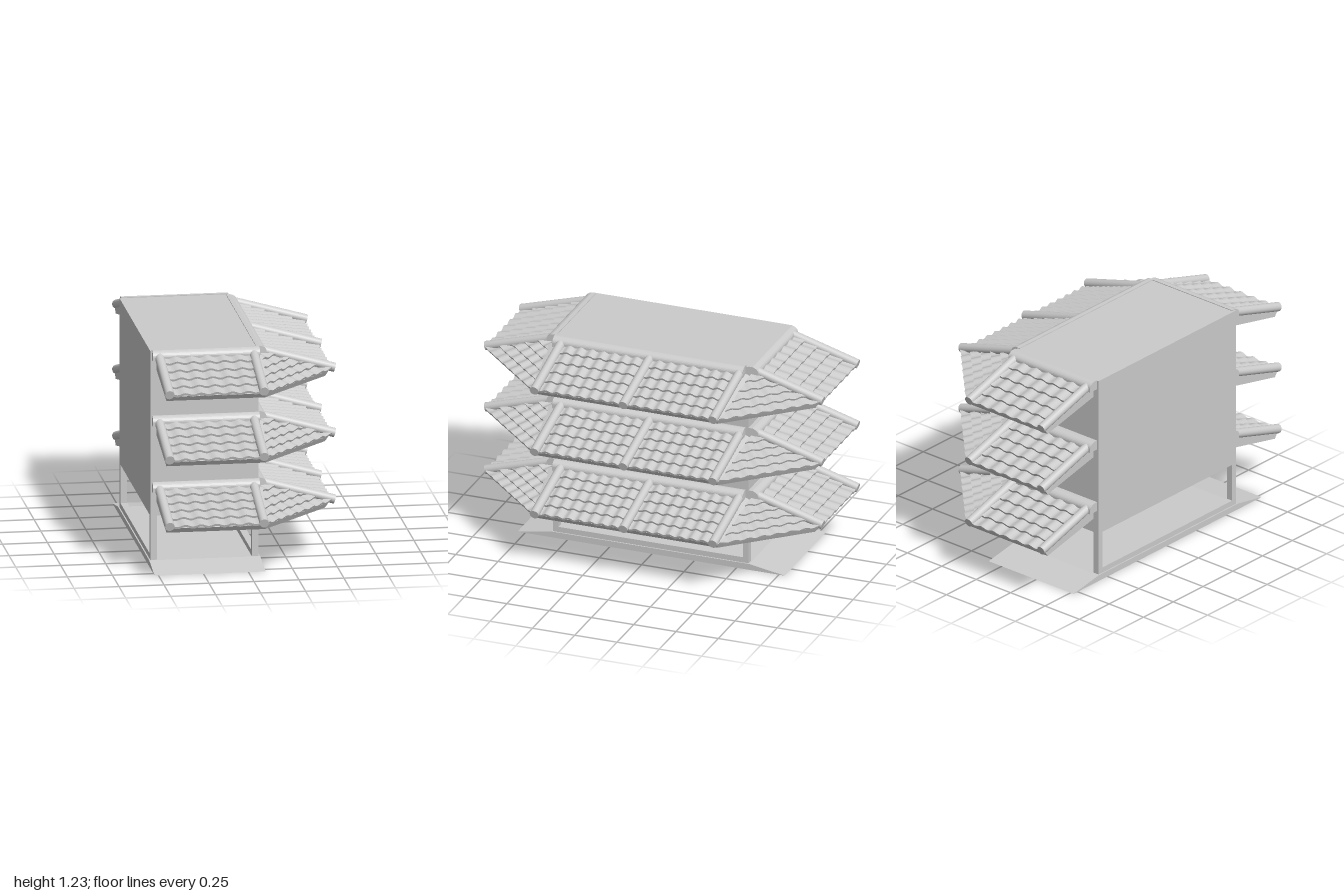
import * as THREE from 'three';

const V = (x, y, z) => new THREE.Vector3(x, y, z);
const mat = new THREE.MeshStandardMaterial({ color: 0xcccccc });
const thinMat = new THREE.MeshStandardMaterial({ color: 0xcccccc, side: THREE.DoubleSide });

// Wall planes of the tower, and the line the end roofs start from
const X0 = -0.515, X1 = 0.087, ZB = -0.567, ZF = 0.587, Z = 0.58;
// Roof slope heights, measured down from the ridge top
const TILE_TOP = -0.034, TILE_EAVE = -0.159, REACH = 0.41;

function add(parent, name, geometry, material = mat) {
  const mesh = new THREE.Mesh(geometry, material);
  mesh.name = name;
  parent.add(mesh);
  return mesh;
}

// Box given by its two opposite corners
function box(parent, name, x0, x1, y0, y1, z0, z1) {
  add(parent, name, new THREE.BoxGeometry(x1 - x0, y1 - y0, z1 - z0))
    .position.set((x0 + x1) / 2, (y0 + y1) / 2, (z0 + z1) / 2);
}

function meshGeometry(pos, index) {
  const g = new THREE.BufferGeometry();
  g.setAttribute('position', new THREE.Float32BufferAttribute(pos, 3));
  g.setIndex(index);
  return g;
}

// Overlapping rows of wavy tiles on a sloped quad (or triangle, when tl = tr)
function tileGeometry(tl, tr, bl, br, period, rows = 5) {
  const along = br.clone().sub(bl), width = along.length();
  along.normalize();
  const normal = along.clone().cross(tl.clone().sub(bl)).normalize();
  if (normal.y < 0) normal.negate();
  const segs = Math.round(width / period) * 8;
  const pos = [], index = [];
  // Strip of quads from slope position v0, lift h0 to v1, h1
  const strip = (v0, h0, v1, h1, steps) => {
    const start = pos.length / 3;
    for (let i = 0; i <= segs; i++) {
      const u = i / segs;
      const top = tl.clone().lerp(tr, u), low = bl.clone().lerp(br, u);
      for (let j = 0; j <= steps; j++) {
        const t = j / steps;
        const p = top.clone().lerp(low, v0 + (v1 - v0) * t);
        const wave = 0.006 * Math.cos(2 * Math.PI * p.clone().sub(bl).dot(along) / period);
        p.addScaledVector(normal, h0 + (h1 - h0) * t + wave);
        pos.push(p.x, p.y, p.z);
        if (i < segs && j < steps) {
          const a = start + i * (steps + 1) + j, b = a + steps + 1;
          index.push(a, a + 1, b, b, a + 1, b + 1);
        }
      }
    }
  };
  for (let r = 0; r < rows; r++) {
    const v1 = (r + 1) / rows;
    strip(r / rows, 0, v1, 0.012, 3);       // tile face
    strip(v1, 0.012, v1, -0.002, 1);        // lower lip
  }
  const g = meshGeometry(pos, index);
  g.computeVertexNormals();
  return g;
}

// Round cover tile running down the slope at local z
function coverRoll(parent, z, end) {
  const a = V(0.02, -0.034, z), b = V(end, -0.15, z);
  const dir = b.clone().sub(a);
  const roll = add(parent, 'coverRoll', new THREE.CylinderGeometry(0.026, 0.026, dir.length(), 20));
  roll.position.copy(a).add(b).multiplyScalar(0.5);
  roll.quaternion.setFromUnitVectors(V(0, 1, 0), dir.normalize());
}

// Ridge bar with a rounded outer shoulder, extruded along local z
function ridge(parent, z0, z1) {
  const s = new THREE.Shape();
  s.moveTo(-0.012, -0.055);
  s.lineTo(0.046, -0.055);
  s.lineTo(0.046, -0.03);
  s.quadraticCurveTo(0.043, -0.008, 0.012, 0);
  s.lineTo(-0.012, 0);
  const g = new THREE.ExtrudeGeometry(s, { depth: z1 - z0, bevelEnabled: false, curveSegments: 6 });
  add(parent, 'ridge', g.translate(0, 0, z0));
}

// One roof side in a local frame: +x points away from the wall, z runs along it
function roofSide(name, ridgeSpan, rolls, rollEnd, period) {
  const side = new THREE.Group();
  side.name = name;
  ridge(side, ...ridgeSpan);
  rolls.forEach((z) => coverRoll(side, z, rollEnd));
  for (let i = 0; i + 1 < rolls.length; i++) {
    const [a, b] = [rolls[i], rolls[i + 1]];
    add(side, 'tilePanel', tileGeometry(V(0.03, TILE_TOP, a), V(0.03, TILE_TOP, b),
      V(REACH, TILE_EAVE, a), V(REACH, TILE_EAVE, b), period), thinMat);
  }
  return side;
}

// Sloping slab under the tiles, lofted round the three roofed walls
function eaveSlab() {
  const section = [[-0.01, -0.11], [0.375, -0.193], [0.395, -0.165], [-0.01, -0.04]];
  const stations = [
    [-0.48, Z, 0, 1], [0.07, Z, 0, 1], [X1, 0.545, 1, 0],
    [X1, -0.535, 1, 0], [0.07, -Z, 0, -1], [-0.48, -Z, 0, -1],
  ];
  const pos = [], index = [], n = section.length;
  for (const [x, z, dx, dz] of stations)
    for (const [d, y] of section) pos.push(x + dx * d, y, z + dz * d);
  for (let s = 0; s + 1 < stations.length; s++)
    for (let k = 0; k < n; k++) {
      const a = s * n + k, b = s * n + (k + 1) % n;
      index.push(a, a + n, b, b, a + n, b + n);
    }
  const e = (stations.length - 1) * n;
  index.push(0, 1, 2, 0, 2, 3, e, e + 2, e + 1, e, e + 3, e + 2);
  const flat = meshGeometry(pos, index).toNonIndexed();
  flat.computeVertexNormals();
  return flat;
}

function createRoofTier() {
  const tier = new THREE.Group();
  tier.name = 'roofTier';
  add(tier, 'eaveSlab', eaveSlab(), thinMat);

  const long = roofSide('sideRoof', [-0.55, 0.575], [-0.525, 0.005, 0.53], 0.43, 0.066);
  long.position.x = X1;
  const front = roofSide('frontRoof', [-0.09, 0.505], [-0.058, 0.467], 0.416, 0.0875);
  front.rotation.y = -Math.PI / 2;
  front.position.z = Z;
  const back = roofSide('backRoof', [-0.505, 0.09], [-0.467, 0.058], 0.416, 0.0875);
  back.rotation.y = Math.PI / 2;
  back.position.z = -Z;
  tier.add(long, front, back);

  // Triangular tiled corners
  for (const s of [1, -1]) {
    const apex = V(X1 + 0.012, TILE_TOP, s * (Z + 0.01));
    add(tier, 'cornerTiles', tileGeometry(apex, apex, V(0.082, TILE_EAVE, s * 0.985),
      V(0.495, TILE_EAVE, s * 0.553), 0.084), thinMat);
  }
  return tier;
}

export function createModel() {
  const model = new THREE.Group();
  model.name = 'tieredTower';

  // Base plate with a ramp at each end
  const ramp = new THREE.Shape([[-0.795, 0], [0.785, 0], [0.575, 0.035], [-0.595, 0.035]]
    .map(([x, y]) => new THREE.Vector2(x, y)));
  const base = add(model, 'base', new THREE.ExtrudeGeometry(ramp, { depth: 0.617, bevelEnabled: false }));
  base.rotation.y = Math.PI / 2;
  base.position.x = -0.522;

  // Upper body over an open ground floor
  box(model, 'body', X0, X1, 0.285, 1.222, ZB, ZF);
  const post = 0.038, depth = 0.032;
  for (const x of [X0, X1 - post]) {
    for (const z of [ZB, ZF - depth]) box(model, 'cornerPost', x, x + post, 0.03, 0.29, z, z + depth);
    box(model, 'sill', x, x + post, 0.03, 0.066, ZB + depth, ZF - depth);
  }

  // Three stacked skirt roofs
  for (const y of [0.477, 0.855, 1.226]) {
    const tier = createRoofTier();
    tier.position.y = y;
    model.add(tier);
  }
  return model;
}
